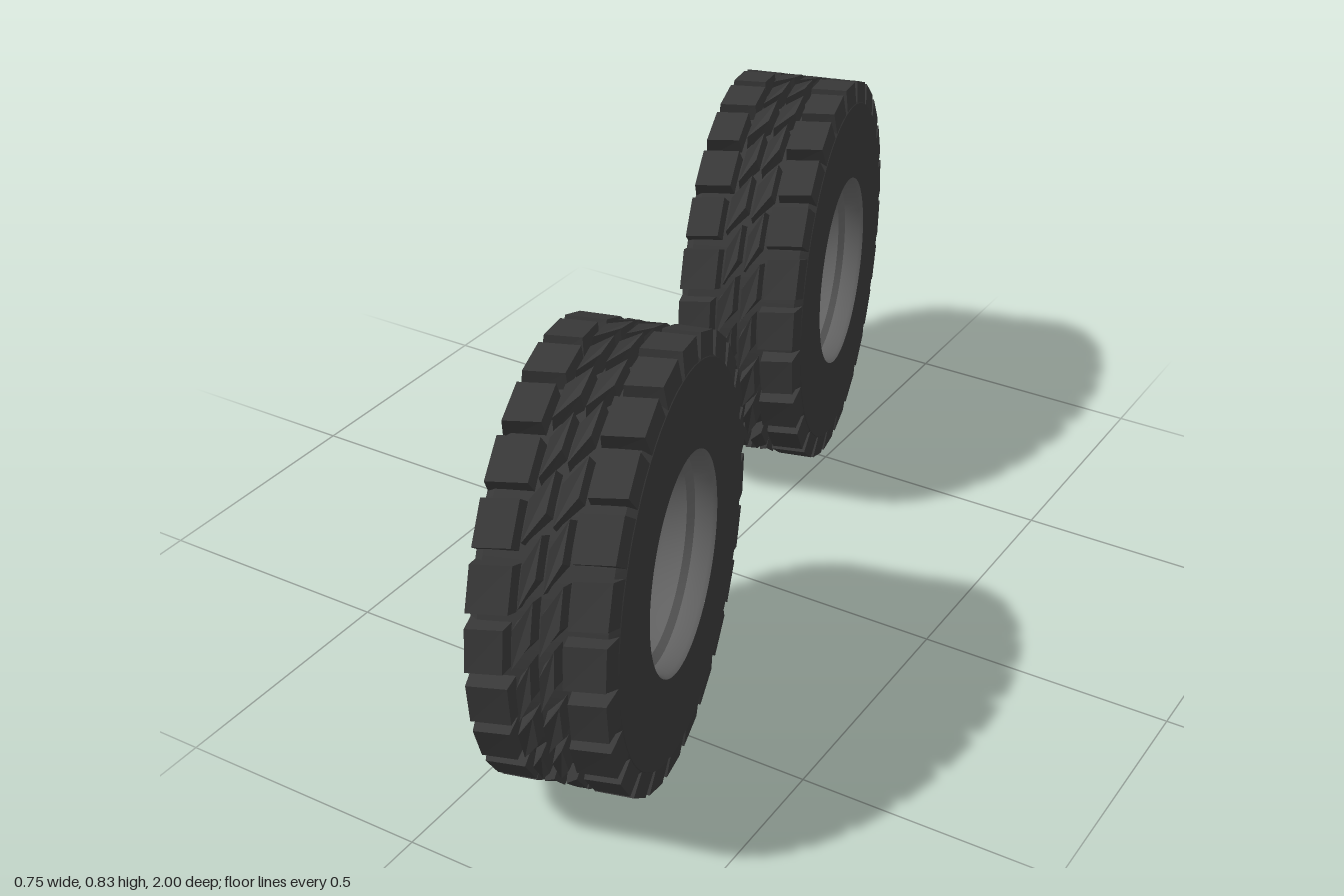
import * as THREE from 'three';
import { mergeGeometries, toCreasedNormals } from 'three/addons/utils/BufferGeometryUtils.js';

const LUGS = 24, PITCH = (Math.PI * 2) / LUGS;
const rubber = new THREE.MeshStandardMaterial({ name: 'rubber', color: 0x383838 });
const steel = new THREE.MeshStandardMaterial({ name: 'steel', color: 0x646464 });

function mesh(name, geometry, material) {
  const m = new THREE.Mesh(geometry, material);
  m.name = name;
  return m;
}

// Surface of revolution about the x axis; points are [radius, x]
function revolve(points, segments, crease) {
  const g = new THREE.LatheGeometry(points.map(p => new THREE.Vector2(p[0], p[1])), segments);
  g.rotateZ(-Math.PI / 2);
  return toCreasedNormals(g, crease);
}

// Tapered tread block: a box bent into axial position, radius and angle
function lug({ base, top, r0, r1, angle, half, skew }) {
  const g = new THREE.BoxGeometry(1, 1, 1).toNonIndexed();
  const p = g.attributes.position;
  for (let i = 0; i < p.count; i++) {
    const up = p.getY(i) > 0;
    const span = up ? top : base;
    const x = p.getX(i) > 0 ? span[1] : span[0];
    const r = up ? r1 : r0;
    const a = angle + p.getX(i) * skew + p.getZ(i) * 2 * half * (up ? 0.87 : 1);
    p.setXYZ(i, x, r * Math.cos(a), r * Math.sin(a));
  }
  g.computeVertexNormals();
  return g;
}

function treadGeometry() {
  const parts = [];
  for (let i = 0; i < LUGS; i++) {
    const long = i % 2 ? 0.007 : 0;
    for (const side of [1, -1]) {
      const span = (a, b) => (side > 0 ? [a, b] : [-b, -a]);
      const angle = side * (i + 0.5) * PITCH;
      // shoulder block
      parts.push(lug({
        base: span(0.05 - long, 0.128), top: span(0.055 - long, 0.121),
        r0: 0.358, r1: 0.413, angle, half: 0.113, skew: -0.02,
      }));
      // slanted centre block
      parts.push(lug({
        base: span(0.004, 0.044 - long), top: span(0.008, 0.04 - long),
        r0: 0.37, r1: 0.412, angle: angle + side * PITCH * 0.35, half: 0.1, skew: -0.13,
      }));
    }
  }
  return mergeGeometries(parts);
}

// Flat round plate with holes, facing along x; holes are [radius, angle, size]
function plate(radius, thickness, x, holes) {
  const shape = new THREE.Shape().absarc(0, 0, radius, 0, Math.PI * 2);
  for (const [r, a, size] of holes) {
    shape.holes.push(new THREE.Path().absarc(r * Math.cos(a), r * Math.sin(a), size, 0, Math.PI * 2, true));
  }
  const g = new THREE.ExtrudeGeometry(shape, { depth: thickness, bevelEnabled: false, curveSegments: 24 });
  g.translate(0, 0, -thickness / 2);
  g.rotateY(Math.PI / 2);
  g.translate(x, 0, 0);
  return toCreasedNormals(g, 0.6);
}

function ring(count, r, size, start = 0) {
  return Array.from({ length: count }, (_, i) => [r, start + (i * Math.PI * 2) / count, size]);
}

function createWheel() {
  const wheel = new THREE.Group();

  // Tyre body with flat sidewalls
  wheel.add(mesh('tyreBody', revolve([
    [0.204, -0.128], [0.366, -0.128], [0.379, -0.112],
    [0.379, 0.112], [0.366, 0.128], [0.204, 0.128],
  ], 72, 0.4), rubber));
  wheel.add(mesh('treadLugs', treadGeometry(), rubber));

  // Rim barrel stepping in towards the hub from both sides
  wheel.add(mesh('rimBarrel', revolve([
    [0.204, 0.128], [0.199, 0.12], [0.197, 0.088], [0.184, 0.076], [0.181, 0.035],
    [0.174, 0.01], [0.16, -0.006], [0.14, -0.013], [0.118, -0.015],
    [0.118, -0.029], [0.14, -0.031], [0.16, -0.038], [0.174, -0.05], [0.181, -0.068],
    [0.184, -0.076], [0.197, -0.088], [0.199, -0.12], [0.204, -0.128],
  ], 64, 0.7), steel));

  // Bolted centre disc and raised hub
  wheel.add(mesh('wheelDisc', plate(0.127, 0.02, -0.022, [
    [0, 0, 0.05], ...ring(4, 0.085, 0.008, Math.PI / 4),
  ]), steel));
  wheel.add(mesh('hub', plate(0.06, 0.026, -0.022, [
    [0, 0, 0.017], ...ring(6, 0.039, 0.006),
  ]), steel));
  return wheel;
}

export function createModel() {
  const model = new THREE.Group();
  model.name = 'wheelPair';
  for (const [name, s] of [['frontWheel', 1], ['rearWheel', -1]]) {
    const wheel = createWheel();
    wheel.name = name;
    wheel.position.set(0.152 * s, 0.412, 0.571 * s);
    wheel.rotation.y = Math.PI / 12;
    model.add(wheel);
  }
  return model;
}
